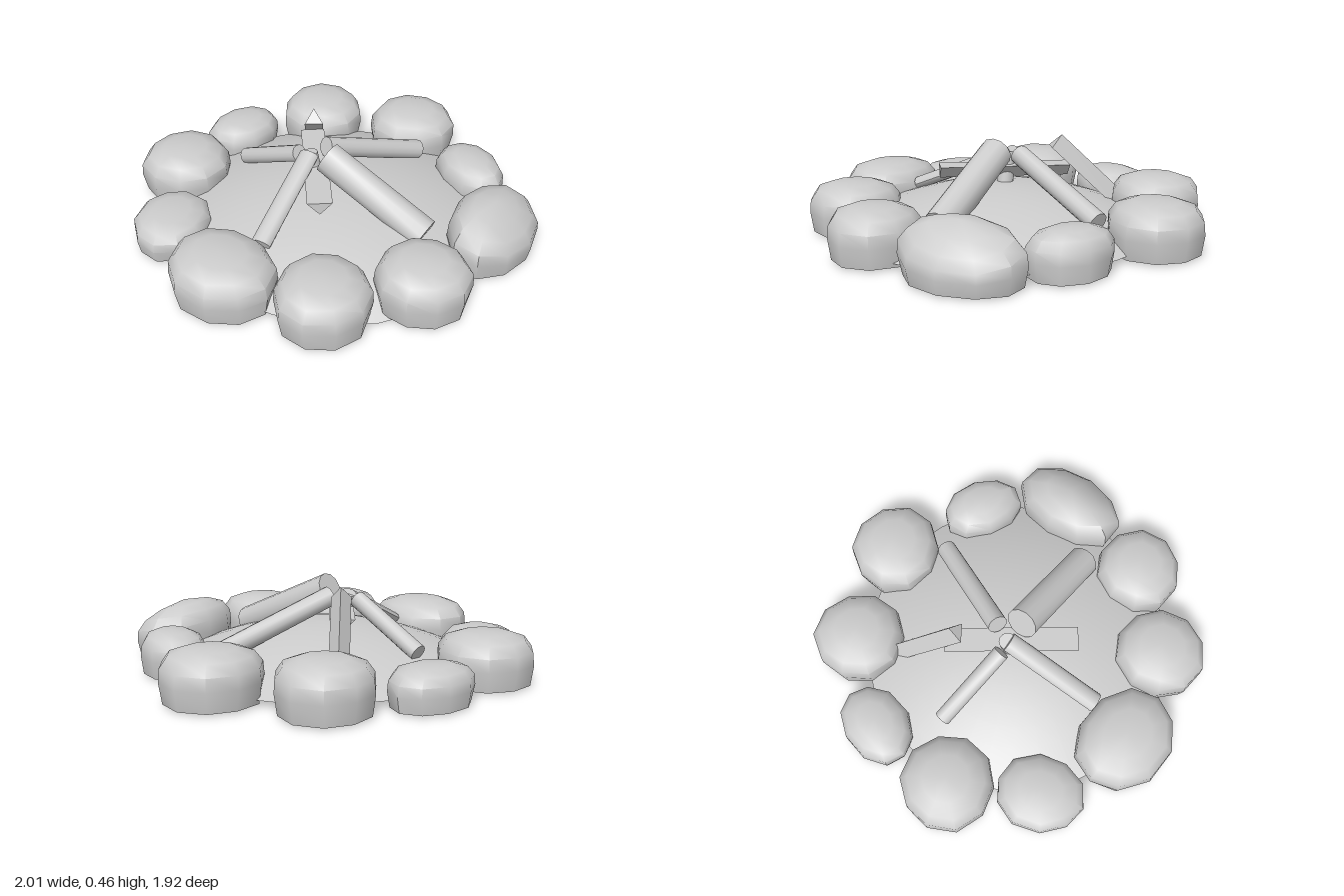
import * as THREE from 'three';
import { toCreasedNormals } from 'three/addons/utils/BufferGeometryUtils.js';

const grey = new THREE.MeshStandardMaterial({ color: 0xcccccc });
const greyDouble = new THREE.MeshStandardMaterial({ color: 0xcccccc, side: THREE.DoubleSide });

function add(group, geometry, name, material = grey) {
  const mesh = new THREE.Mesh(geometry, material);
  mesh.name = name;
  group.add(mesh);
  return mesh;
}

// Domed ash mound, open underneath, its rim dipping to the ground in one front gap
function moundGeometry(radius, rim, height) {
  const profile = [];
  for (let i = 0; i <= 8; i++) {
    const r = 1 - i / 8;
    profile.push(new THREE.Vector2(r * radius, rim + (height - rim) * (1 - r * r)));
  }
  const geo = new THREE.LatheGeometry(profile, 32);
  const p = geo.attributes.position;
  for (let i = 0; i < p.count; i++) {
    const x = p.getX(i), z = p.getZ(i);
    const toGap = Math.max(0, (-0.48 * x + 0.88 * z) / radius);
    p.setY(i, p.getY(i) - rim * toGap ** 30);
  }
  geo.computeVertexNormals();
  return geo;
}

// Flat-bottomed boulder: a turned profile made uneven; the top can slope down towards +x and +z
function stoneGeometry(rx, rz, h, seed, slopeX, slopeZ) {
  const profile = [[0, 0], [0.93, 0], [1, 0.4], [0.98, 0.66], [0.82, 0.87], [0.5, 0.98], [0, 1]]
    .map(([r, y]) => new THREE.Vector2(r, y));
  const geo = new THREE.LatheGeometry(profile, 10, seed);
  const p = geo.attributes.position;
  for (let i = 0; i < p.count; i++) {
    const x = p.getX(i), y = p.getY(i), z = p.getZ(i);
    const a = Math.atan2(z, x);
    const k = 1.015 + 0.02 * Math.sin(2 * a + seed * 3) + 0.02 * Math.sin(3 * a + seed * 5 + y * 2);
    const drop = 1 - slopeX * Math.max(0, x) - slopeZ * Math.max(0, z);
    p.setXYZ(i, x * k * rx, y * h * drop, z * k * rz);
  }
  return toCreasedNormals(geo, 0.8);
}

// Stick from its low end to its high end; roll turns it about its own length
function stick(group, name, low, high, radius, { sides = 12, flat = 1, roll = 0 } = {}) {
  const a = new THREE.Vector3(...low), b = new THREE.Vector3(...high);
  const dir = b.clone().sub(a), length = dir.length();
  dir.normalize();
  const geo = new THREE.CylinderGeometry(radius, radius, length, sides, 1, false, roll);
  geo.scale(1, 1, flat);
  const side = dir.clone().cross(new THREE.Vector3(0, 1, 0)).normalize();
  const up = side.clone().cross(dir);
  geo.applyMatrix4(new THREE.Matrix4().makeBasis(side, dir, up));
  const mid = a.add(b).multiplyScalar(0.5);
  geo.translate(mid.x, mid.y, mid.z);
  add(group, toCreasedNormals(geo, 0.7), name);
}

export function createModel() {
  const model = new THREE.Group();
  model.name = 'campfire';

  const mound = add(model, moundGeometry(0.785, 0.032, 0.225), 'ashMound', greyDouble);
  mound.position.set(-0.025, 0, 0.035);

  // Ring of stones: x, z, half-length, half-width, height, turn, top slopes
  const ring = new THREE.Group();
  ring.name = 'stoneRing';
  model.add(ring);
  [
    [-0.34, -0.735, 0.225, 0.23, 0.25, 0, 0, 0],
    [0.12, -0.795, 0.213, 0.157, 0.19, -0.1, 0, 0],
    [0.525, -0.56, 0.222, 0.225, 0.25, 0, 0, 0],
    [0.772, -0.10, 0.228, 0.23, 0.25, 0, 0, 0],
    [0.635, 0.40, 0.215, 0.15, 0.22, 1.2, 0, 0],
    [0.325, 0.757, 0.288, 0.2, 0.278, 0.15, 0.15, 0.4],
    [-0.20, 0.74, 0.22, 0.215, 0.25, 0, 0, 0],
    [-0.59, 0.49, 0.225, 0.22, 0.25, 0, 0, 0],
    [-0.78, 0.04, 0.22, 0.27, 0.25, 0, 0, 0],
    [-0.68, -0.44, 0.22, 0.183, 0.175, 0.6, 0, 0],
  ].forEach(([x, z, rx, rz, h, turn, sx, sz], i) => {
    const stone = add(ring, stoneGeometry(rx, rz, h - 0.01, i * 1.3 + 0.4, sx, sz), 'stone');
    stone.position.set(x, 0.01, z);
    stone.rotation.y = turn;
  });

  // Leaning logs and split wood
  const wood = new THREE.Group();
  wood.name = 'firewood';
  model.add(wood);
  stick(wood, 'frontLog', [0.035, 0.145, 0.565], [-0.06, 0.385, 0.025], 0.081);
  stick(wood, 'leftLog', [0.58, 0.15, 0.09], [0.02, 0.37, -0.06], 0.05);
  stick(wood, 'rightLog', [-0.555, 0.16, 0.06], [-0.08, 0.365, -0.08], 0.05, { flat: 0.65 });
  stick(wood, 'backLog', [-0.09, 0.15, -0.54], [-0.09, 0.35, -0.14], 0.042);
  stick(wood, 'splitStick', [0.36, 0.09, -0.47], [0.115, 0.415, -0.235], 0.055, { sides: 3 });
  stick(wood, 'splitPlank', [0.16, 0.285, -0.29], [-0.29, 0.295, 0.19], 0.07, { sides: 3, flat: 0.6, roll: Math.PI });
  stick(wood, 'centreStake', [-0.06, 0.12, -0.04], [-0.075, 0.37, -0.085], 0.042);

  return model;
}
